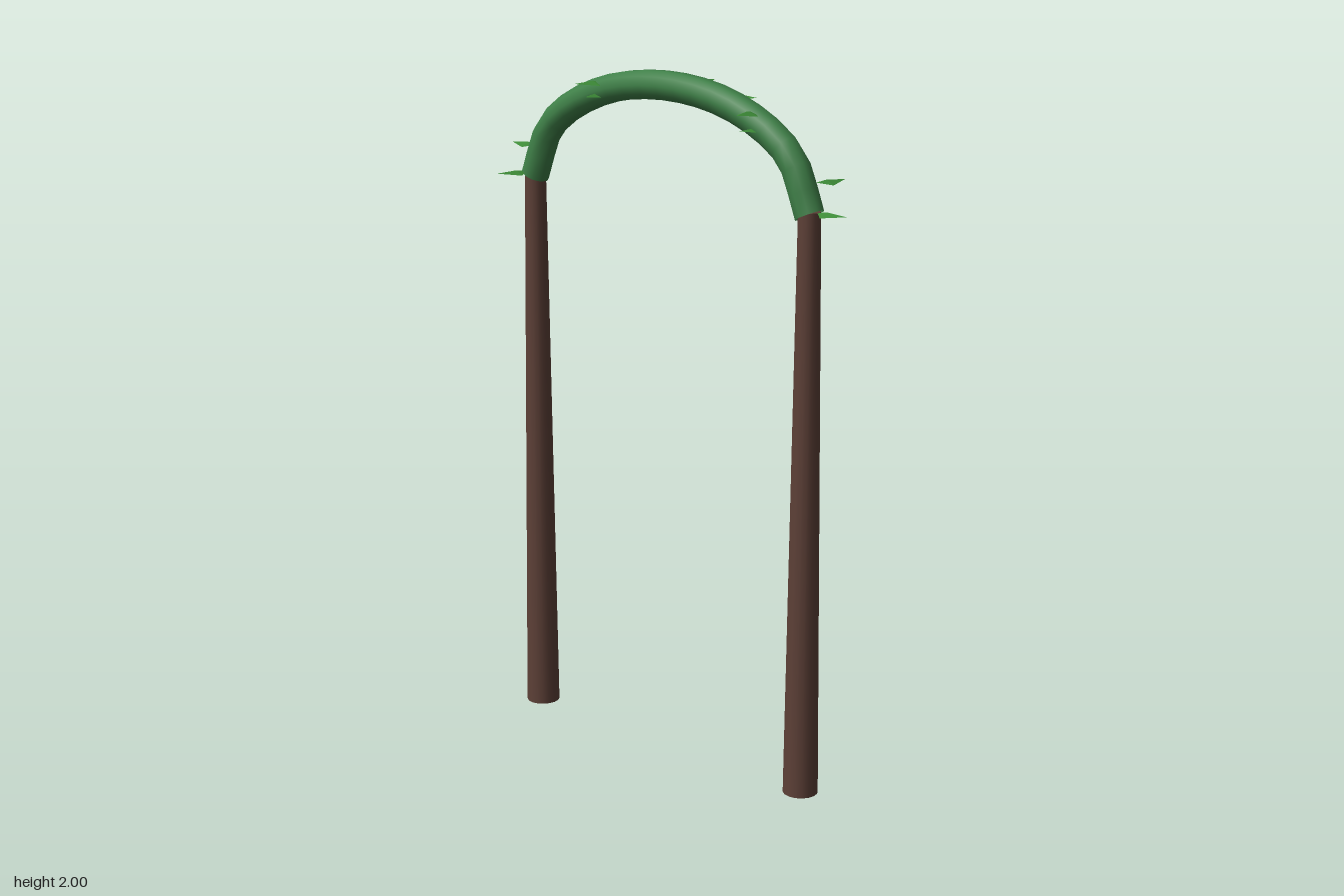
import * as THREE from 'three';

const CENTER_X = -0.01, SPAN = 0.52, SPRING_Y = 1.655, RISE = 0.303;

// Folded diamond leaf pointing along +z, with a raised midrib
function leafGeometry() {
  const base = [0, 0, 0], left = [-0.031, -0.007, 0.034], right = [0.031, -0.007, 0.034];
  const rib = [0, 0.005, 0.036], tip = [0, 0, 0.1];
  const geo = new THREE.BufferGeometry();
  const corners = [base, rib, left, left, rib, tip, base, right, rib, rib, right, tip].flat();
  // reversed order so the ribbed side faces up
  const up = [];
  for (let i = 0; i < corners.length; i += 9) {
    const [a, b, c] = [0, 3, 6].map((k) => corners.slice(i + k, i + k + 3));
    up.push(...a, ...c, ...b);
  }
  geo.setAttribute('position', new THREE.Float32BufferAttribute(up, 3));
  geo.computeVertexNormals();
  const n = geo.attributes.normal;
  if (n.getY(0) < 0) {
    geo.setAttribute('position', new THREE.Float32BufferAttribute(corners, 3));
    geo.computeVertexNormals();
  }
  return geo;
}

export function createModel() {
  const model = new THREE.Group();
  model.name = 'gardenArch';
  const wood = new THREE.MeshStandardMaterial({ color: 0x5d4037 });
  wood.name = 'brownWood';
  const vine = new THREE.MeshStandardMaterial({ color: 0x3f8048, side: THREE.DoubleSide });
  vine.name = 'vineGreen';
  const leafGreen = new THREE.MeshStandardMaterial({ color: 0x3d8b37, side: THREE.DoubleSide });
  leafGreen.name = 'leafGreen';

  // Tapered posts
  const postGeo = new THREE.CylinderGeometry(0.031, 0.05, 1.665, 16);
  for (const side of [-1, 1]) {
    const post = new THREE.Mesh(postGeo, wood);
    post.name = side > 0 ? 'leftPost' : 'rightPost';
    post.position.set(CENTER_X + side * SPAN, 1.665 / 2, 0.004);
    model.add(post);
  }

  // Vine arch over the posts
  const points = [];
  for (let i = 0; i <= 6; i++) {
    const a = Math.PI * (1 - i / 6);
    points.push(new THREE.Vector3(
      CENTER_X + SPAN * Math.cos(a), SPRING_Y + RISE * Math.sin(a), 0.004));
  }
  const arch = new THREE.Mesh(
    new THREE.TubeGeometry(new THREE.CatmullRomCurve3(points), 20, 0.042, 10), vine);
  arch.name = 'vineArch';
  model.add(arch);

  // Leaves: tip x, y, tip z, heading x, heading z
  const leaves = [
    [-0.64, 1.74, -0.01, -1, 0.05],
    [0.635, 1.665, 0.003, 1, 0],
    [-0.575, 1.665, 0.117, -0.3, 1],
    [-0.49, 1.81, -0.125, -0.08, -1],
    [0.06, 1.97, -0.125, 0, -1],
    [0.53, 1.74, -0.12, 0.2, -1],
    [-0.265, 1.95, 0.105, -0.2, 1],
    [-0.23, 1.915, 0.095, 0.3, 1],
    [0.345, 1.915, 0.112, 0.25, 1],
    [0.33, 1.87, 0.085, -0.2, 1],
    [0.42, 1.815, -0.052, 1, -0.12],
    [-0.28, 1.905, -0.046, 1, -0.1],
    [-0.19, 1.94, -0.04, -1, -0.1],
    [0.295, 1.945, -0.032, 1, 0],
  ];
  const geo = leafGeometry();
  const foliage = new THREE.Group();
  foliage.name = 'leaves';
  for (const [x, y, z, hx, hz] of leaves) {
    const len = Math.hypot(hx, hz);
    const leaf = new THREE.Mesh(geo, leafGreen);
    leaf.name = 'leaf';
    leaf.rotation.y = Math.atan2(hx, hz);
    leaf.position.set(x - 0.1 * hx / len, y, z - 0.1 * hz / len);
    foliage.add(leaf);
  }
  model.add(foliage);
  return model;
}
